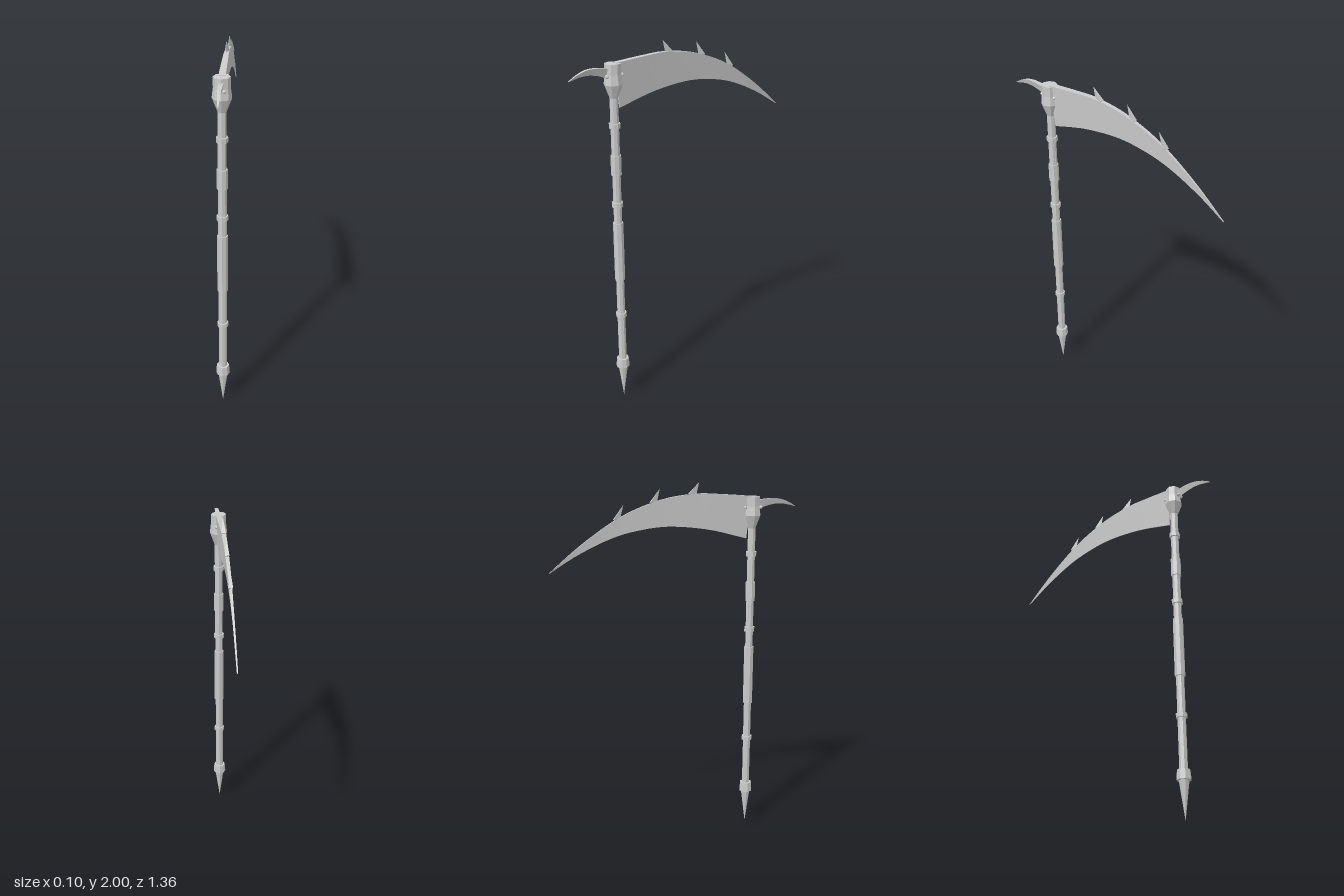
import * as THREE from 'three';
import { ConvexGeometry } from 'three/addons/geometries/ConvexGeometry.js';

const SHAFT_Z = 0.432;
const mat = new THREE.MeshStandardMaterial({ color: 0xcccccc, flatShading: true, side: THREE.DoubleSide });

export function createModel() {
  const root = new THREE.Group();
  const add = (name, geometry, x = 0, y = 0, z = 0) => {
    const mesh = new THREE.Mesh(geometry, mat);
    mesh.name = name;
    mesh.position.set(x, y, z);
    root.add(mesh);
    return mesh;
  };

  // Eight-sided turned part on the shaft axis, profile given as [radius, y] from bottom to top
  const turned = (name, profile) =>
    add(name, new THREE.LatheGeometry(profile.map(([r, y]) => new THREE.Vector2(r, y)), 8), 0, 0, SHAFT_Z);
  const sleeve = (name, r, y0, y1) => turned(name, [[0, y0], [r, y0], [r, y1], [0, y1]]);

  sleeve('shaft', 0.022, 0.2, 1.8);
  turned('bottomSpike', [[0, 0], [0.027, 0.2], [0, 0.2]]);
  turned('bottomCollar', [[0, 0.198], [0.038, 0.2], [0.034, 0.253], [0, 0.253]]);
  sleeve('lowerRing', 0.03, 0.522, 0.546);
  sleeve('longGrip', 0.028, 0.75, 1.084);
  sleeve('middleRing', 0.03, 1.174, 1.2);
  sleeve('shortGrip', 0.028, 1.349, 1.455);
  sleeve('upperRing', 0.03, 1.598, 1.624);
  turned('head', [[0, 1.752], [0.022, 1.752], [0.048, 1.82], [0.042, 1.87], [0.042, 1.923], [0, 1.923]]);

  // Wedge swept between a spine curve and an edge curve in the z-y plane
  function wedge(name, spine, edge, t0, t1, steps) {
    const curve = (pts) => new THREE.SplineCurve(pts.map(([z, y]) => new THREE.Vector2(z, y)));
    const top = curve(spine), bottom = curve(edge);
    const pos = [], index = [];
    for (let i = 0; i <= steps; i++) {
      const u = i / steps, t = t0 + (t1 - t0) * u;
      const a = top.getPoint(u), b = bottom.getPoint(u);
      pos.push(t, a.y, a.x, -t, a.y, a.x, -t * 0.12, b.y, b.x, t * 0.12, b.y, b.x);
    }
    // The sweep direction decides which way the faces wind
    const flip = spine[0][0] < spine[spine.length - 1][0];
    const tri = (a, b, c) => index.push(...(flip ? [a, c, b] : [a, b, c]));
    for (let i = 0; i < steps; i++) {
      for (let k = 0; k < 4; k++) {
        const a = i * 4 + k, b = i * 4 + (k + 1) % 4;
        tri(a, a + 4, b);
        tri(b, a + 4, b + 4);
      }
    }
    const e = steps * 4;
    tri(0, 1, 2);
    tri(0, 2, 3);
    tri(e, e + 2, e + 1);
    tri(e, e + 3, e + 2);
    const g = new THREE.BufferGeometry();
    g.setAttribute('position', new THREE.Float32BufferAttribute(pos, 3));
    g.setIndex(index);
    g.computeVertexNormals();
    return add(name, g);
  }

  // Main blade, sweeping back and down to a point
  wedge('blade',
    [[0.42, 1.925], [0.244, 1.937], [0.11, 1.94], [-0.074, 1.912], [-0.286, 1.832], [-0.498, 1.695], [-0.68, 1.545]],
    [[0.4, 1.696], [0.19, 1.748], [-0.02, 1.77], [-0.18, 1.757], [-0.34, 1.718], [-0.525, 1.635], [-0.68, 1.541]],
    0.017, 0.003, 28);

  // Small hook on the opposite side of the head
  wedge('frontHook',
    [[0.45, 1.9], [0.53, 1.911], [0.588, 1.908], [0.64, 1.89], [0.68, 1.868]],
    [[0.45, 1.85], [0.52, 1.872], [0.568, 1.881], [0.62, 1.879], [0.68, 1.865]],
    0.014, 0.003, 12);

  // Barbs along the spine: [tip z, tip y, base front z, base back z, base y, slope drop]
  for (const [tz, ty, fz, bz, by, drop] of [
    [0.13, 2.0, 0.115, 0.073, 1.935, 0.003],
    [-0.085, 1.969, -0.1, -0.138, 1.902, 0.012],
    [-0.28, 1.89, -0.297, -0.335, 1.825, 0.02],
  ]) {
    add('barb', new ConvexGeometry([
      new THREE.Vector3(0, ty, tz),
      new THREE.Vector3(0, by, fz),
      new THREE.Vector3(0.011, by - drop + 0.008, bz),
      new THREE.Vector3(-0.011, by - drop + 0.008, bz),
      new THREE.Vector3(0, by - 0.025, (fz + bz) / 2),
    ]));
  }

  // Rivets either side of the blade and the hook
  for (const x of [-0.014, 0.014])
    for (const dz of [-0.044, 0.044])
      add('rivet', new THREE.SphereGeometry(0.0095, 8, 6), x, 1.864, SHAFT_Z + dz);

  return root;
}
